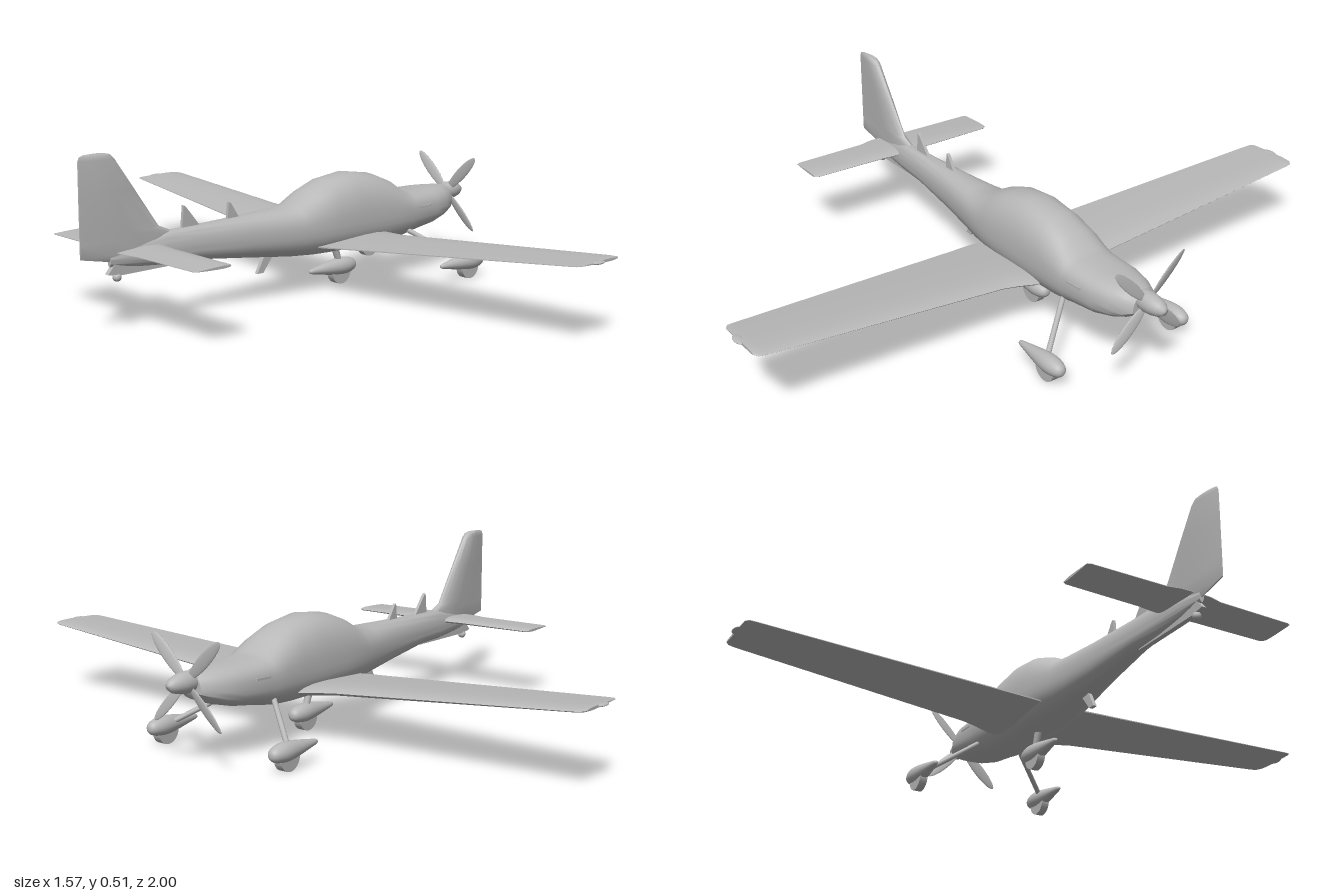
import * as THREE from 'three';
import { toCreasedNormals } from 'three/addons/utils/BufferGeometryUtils.js';

const paint = new THREE.MeshStandardMaterial({ color: 0xb8b8b8 });
paint.name = 'light grey';

const V = (x, y, z) => new THREE.Vector3(x, y, z);

function add(parent, name, geometry) {
  const mesh = new THREE.Mesh(geometry, paint);
  mesh.name = name;
  parent.add(mesh);
  return mesh;
}

// Skin a list of closed rings, cap both ends and make the faces point outward.
function loft(rings, crease = 0.6) {
  const n = rings[0].length, pts = rings.flat(), idx = [];
  for (let i = 0; i < rings.length - 1; i++) {
    for (let j = 0; j < n; j++) {
      const a = i * n + j, b = i * n + (j + 1) % n;
      idx.push(a, b, a + n, b, b + n, a + n);
    }
  }
  [0, rings.length - 1].forEach((r, end) => {
    const c = pts.length;
    pts.push(rings[r].reduce((s, p) => s.add(p), V(0, 0, 0)).divideScalar(n));
    for (let j = 0; j < n; j++) {
      const a = r * n + j, b = r * n + (j + 1) % n;
      end ? idx.push(c, a, b) : idx.push(c, b, a);
    }
  });
  let volume = 0;
  for (let i = 0; i < idx.length; i += 3) {
    volume += pts[idx[i]].dot(pts[idx[i + 1]].clone().cross(pts[idx[i + 2]]));
  }
  if (volume < 0) idx.reverse();
  const g = new THREE.BufferGeometry().setFromPoints(pts);
  g.setIndex(idx);
  return toCreasedNormals(g, crease);
}

// Symmetric aerofoil ring; place(x, h) turns chord position and half height into a point.
const FOIL = [[1, 0.12], [0.7, 0.6], [0.4, 0.95], [0.2, 1], [0.07, 0.7], [0.015, 0.3]];
function foil(lead, trail, half, place) {
  const upper = FOIL.map(([s, h]) => place(lead + (trail - lead) * s, h * half));
  const lower = FOIL.map(([s, h]) => place(lead + (trail - lead) * s, -h * half)).reverse();
  return [...upper, place(lead, 0), ...lower];
}

// Smooth curve through fuselage stations: x, top, bottom, half width, roundness.
function fuselage() {
  const stations = [
    [-0.69, 0.225, 0.19, 0.008, 2], [-0.6, 0.25, 0.178, 0.02, 2], [-0.5, 0.268, 0.17, 0.028, 2.2],
    [-0.39, 0.27, 0.168, 0.036, 2.3], [-0.2, 0.275, 0.145, 0.055, 2.4], [-0.08, 0.279, 0.13, 0.073, 2.4],
    [-0.02, 0.284, 0.123, 0.084, 2.4], [0.05, 0.323, 0.118, 0.095, 2.4], [0.12, 0.35, 0.116, 0.1, 2.4],
    [0.22, 0.363, 0.115, 0.1, 2.4], [0.32, 0.348, 0.115, 0.1, 2.4], [0.39, 0.32, 0.119, 0.1, 2.4],
    [0.445, 0.281, 0.129, 0.098, 2.6], [0.47, 0.276, 0.135, 0.095, 2.7], [0.57, 0.275, 0.152, 0.092, 2.7],
    [0.63, 0.273, 0.168, 0.078, 2.6], [0.67, 0.27, 0.184, 0.06, 2.4], [0.695, 0.267, 0.21, 0.042, 2],
  ];
  const rings = stations.map(([x, top, bottom, w, e]) => {
    const mid = Math.min(0.21, (top + bottom) / 2 + 0.01);
    return Array.from({ length: 36 }, (_, j) => {
      const a = j / 36 * Math.PI * 2, c = Math.cos(a), s = Math.sin(a);
      const y = Math.sign(s) * Math.abs(s) ** (2 / e) * (s > 0 ? top - mid : mid - bottom);
      return V(x, mid + y, Math.sign(c) * Math.abs(c) ** (2 / e) * w);
    });
  });
  return loft(rings, 0.8);
}

// Thin upright plate on the centre line from a side outline.
function plate(outline, thick) {
  const shape = new THREE.Shape(outline.map(([x, y]) => new THREE.Vector2(x, y)));
  return new THREE.ExtrudeGeometry(shape, { depth: thick, bevelEnabled: false }).translate(0, 0, -thick / 2);
}

function rod(a, b, r) {
  const g = new THREE.CylinderGeometry(r, r, a.distanceTo(b), 12);
  g.applyQuaternion(new THREE.Quaternion().setFromUnitVectors(V(0, 1, 0), b.clone().sub(a).normalize()));
  return g.translate(...a.clone().add(b).multiplyScalar(0.5).toArray());
}

// Teardrop fairing around a wheel, tail towards -x.
function wheelUnit(name, x, z) {
  const unit = new THREE.Group();
  unit.name = name;
  unit.position.set(x, 0, z);
  const profile = [[0, -0.13], [0.007, -0.125], [0.014, -0.09], [0.023, -0.04], [0.028, 0],
    [0.027, 0.03], [0.02, 0.055], [0.01, 0.066], [0, 0.068]].map(([r, y]) => new THREE.Vector2(r, y));
  const curve = new THREE.SplineCurve(profile).getPoints(28).map(p => p.setX(Math.max(0, p.x)));
  const fairing = add(unit, 'wheelFairing', new THREE.LatheGeometry(curve, 24));
  fairing.rotation.z = -Math.PI / 2;
  fairing.position.y = 0.056;
  const wheel = add(unit, 'wheel', new THREE.CylinderGeometry(0.04, 0.04, 0.026, 28));
  wheel.rotation.x = Math.PI / 2;
  wheel.position.y = 0.04;
  return unit;
}

export function createModel() {
  const model = new THREE.Group();
  model.name = 'lightAircraft';
  add(model, 'fuselage', fuselage());

  // Wings, tailplane halves and side gear, mirrored across the centre line
  for (const side of [1, -1]) {
    const half = new THREE.Group();
    half.name = side > 0 ? 'nearSide' : 'farSide';
    half.scale.z = side;
    model.add(half);

    const wingRows = [[0, 0.34, 0.03, 0.017], [0.1, 0.34, 0.035, 0.016], [0.15, 0.325, 0.04, 0.015],
      [0.2, 0.316, 0.046, 0.014], [0.96, 0.315, 0.124, 0.007], [0.978, 0.312, 0.127, 0.006], [0.988, 0.298, 0.14, 0.004]];
    add(half, 'wing', loft(wingRows.map(([z, lead, trail, t]) =>
      foil(lead, trail, t, (x, h) => V(x, 0.147 + 0.086 * z + h, z)))));
    const light = add(half, 'wingTipLight', new THREE.SphereGeometry(1, 16, 10));
    light.scale.set(0.028, 0.005, 0.015);
    light.position.set(0.21, 0.232, 0.985);

    const tailRows = [[0, -0.515, -0.67, 0.01], [0.05, -0.517, -0.668, 0.009], [0.09, -0.522, -0.658, 0.008],
      [0.33, -0.525, -0.655, 0.006], [0.34, -0.532, -0.65, 0.004]];
    add(half, 'tailplane', loft(tailRows.map(([z, lead, trail, t]) =>
      foil(lead, trail, t, (x, h) => V(x, 0.228 + h, z)))));

    half.add(wheelUnit('sideWheel', 0.563, 0.229));
    add(half, 'sideStrut', rod(V(0.435, 0.155, 0.075), V(0.55, 0.06, 0.222), 0.008));
    const intake = add(half, 'cowlVent', new THREE.BoxGeometry(0.06, 0.007, 0.012));
    intake.position.set(0.5, 0.227, 0.09);
    intake.rotation.z = 0.05;
  }

  // Fin and rudder
  const finRows = [[0.203, -0.46, -0.68, 0.014], [0.224, -0.46, -0.785, 0.015], [0.265, -0.47, -0.785, 0.016],
    [0.285, -0.518, -0.785, 0.016], [0.4, -0.599, -0.785, 0.016], [0.495, -0.667, -0.785, 0.015],
    [0.507, -0.68, -0.78, 0.013], [0.512, -0.7, -0.765, 0.008]];
  add(model, 'fin', loft(finRows.map(([y, lead, trail, t]) => foil(lead, trail, t, (x, h) => V(x, y, h)))));

  // Ventral fin, tail skid and aerials
  add(model, 'ventralFin', plate([[-0.7, 0.17], [-0.65, 0.163], [-0.4, 0.165], [-0.38, 0.185], [-0.67, 0.205]], 0.016));
  const skid = add(model, 'tailSkid', new THREE.SphereGeometry(0.013, 14, 10));
  skid.position.set(-0.665, 0.158, 0);
  add(model, 'rearAerial', plate([[-0.437, 0.26], [-0.43, 0.333], [-0.422, 0.328], [-0.37, 0.265]], 0.01));
  add(model, 'frontAerial', plate([[-0.267, 0.265], [-0.261, 0.322], [-0.253, 0.318], [-0.218, 0.265]], 0.01));
  add(model, 'lowerAerial', plate([[-0.152, 0.086], [-0.128, 0.086], [-0.085, 0.14], [-0.12, 0.145]], 0.012));

  // Centre wheel
  model.add(wheelUnit('centreWheel', 0.2, 0));
  const strut = add(model, 'centreStrut', new THREE.CylinderGeometry(0.013, 0.009, 0.08, 12));
  strut.position.set(0.19, 0.095, 0);
  strut.rotation.z = 0.35;

  // Propeller
  const propeller = new THREE.Group();
  propeller.name = 'propeller';
  propeller.position.set(0.71, 0.243, 0);
  model.add(propeller);
  const nose = [[0.028, -0.025], [0.031, 0], [0.029, 0.025], [0.022, 0.052], [0.012, 0.067], [0, 0.071]];
  const spinner = add(propeller, 'spinner', new THREE.LatheGeometry(nose.map(p => new THREE.Vector2(...p)), 28));
  spinner.rotation.z = -Math.PI / 2;
  for (let i = 0; i < 4; i++) {
    const arm = new THREE.Group();
    arm.name = 'bladeArm';
    arm.rotation.x = Math.PI / 4 + i * Math.PI / 2;
    const blade = add(arm, 'blade', new THREE.SphereGeometry(1, 18, 14));
    blade.scale.set(0.004, 0.081, 0.018);
    blade.position.y = 0.095;
    blade.rotation.y = 0.25;
    propeller.add(arm);
  }
  return model;
}
